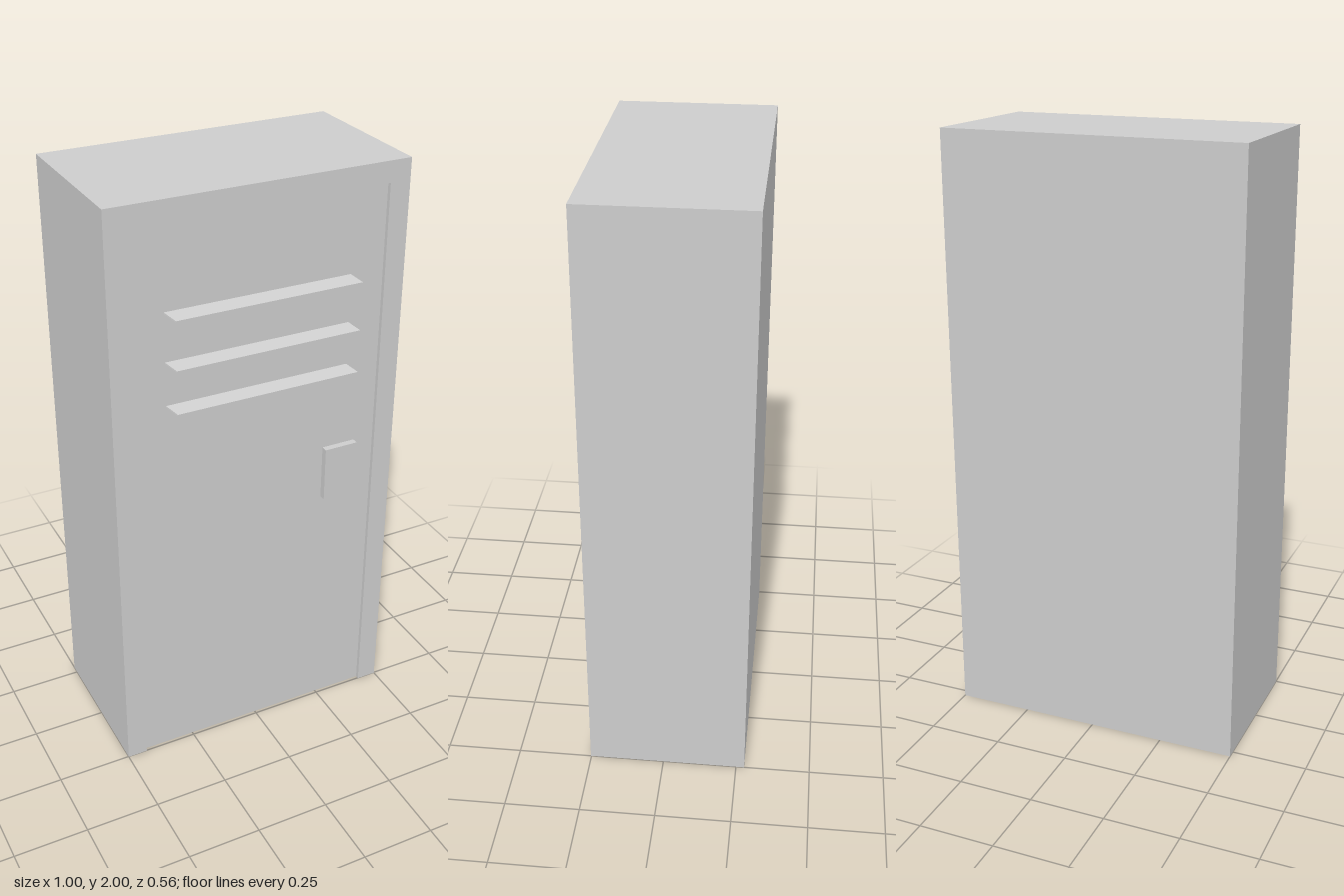
import * as THREE from 'three';

export function createModel() {
  const locker = new THREE.Group();
  locker.name = 'locker';
  const metal = new THREE.MeshStandardMaterial({ color: 0xcccccc, side: THREE.DoubleSide });
  metal.name = 'grey metal';

  const W = 1, H = 2, BACK = -0.278, FRONT = 0.252, DEPTH = FRONT - BACK;
  const MID = (FRONT + BACK) / 2;
  const DOOR_L = -0.432, DOOR_R = 0.43, DOOR_TOP = 1.93, RECESS = 0.013;
  const DOOR_Z = FRONT - RECESS;

  function add(name, geometry, x = 0, y = 0, z = 0) {
    const mesh = new THREE.Mesh(geometry, metal);
    mesh.name = name;
    mesh.position.set(x, y, z);
    locker.add(mesh);
    return mesh;
  }

  // Thin sheet shell, open at the bottom
  add('backPanel', new THREE.PlaneGeometry(W, H).rotateY(Math.PI), 0, H / 2, BACK);
  add('topPanel', new THREE.PlaneGeometry(W, DEPTH).rotateX(-Math.PI / 2), 0, H, MID);
  for (const side of [-1, 1]) {
    add(side > 0 ? 'leftPanel' : 'rightPanel',
      new THREE.PlaneGeometry(DEPTH, H).rotateY(side * Math.PI / 2), side * W / 2, H / 2, MID);
  }

  // Front frame around the doorway
  const frame = new THREE.Shape([
    [-W / 2, 0], [DOOR_L, 0], [DOOR_L, DOOR_TOP], [DOOR_R, DOOR_TOP],
    [DOOR_R, 0], [W / 2, 0], [W / 2, H], [-W / 2, H],
  ].map(([x, y]) => new THREE.Vector2(x, y)));
  add('doorFrame', new THREE.ShapeGeometry(frame), 0, 0, FRONT);

  // Reveals joining the frame to the recessed door
  const revealZ = FRONT - RECESS / 2;
  const doorW = DOOR_R - DOOR_L, doorX = (DOOR_R + DOOR_L) / 2;
  add('rightReveal', new THREE.PlaneGeometry(RECESS, DOOR_TOP).rotateY(Math.PI / 2),
    DOOR_L, DOOR_TOP / 2, revealZ);
  add('leftReveal', new THREE.PlaneGeometry(RECESS, DOOR_TOP).rotateY(-Math.PI / 2),
    DOOR_R, DOOR_TOP / 2, revealZ);
  add('topReveal', new THREE.PlaneGeometry(doorW, RECESS).rotateX(Math.PI / 2),
    doorX, DOOR_TOP, revealZ);
  add('door', new THREE.PlaneGeometry(doorW, DOOR_TOP), doorX, DOOR_TOP / 2, DOOR_Z);

  // Louvres: thin slats sheared down and sideways as they leave the door
  const reach = 0.278 - DOOR_Z;
  for (const y of [1.641, 1.478, 1.331]) {
    const slat = new THREE.BoxGeometry(0.632, 0.006, reach);
    const p = slat.attributes.position;
    for (let i = 0; i < p.count; i++) {
      const z = p.getZ(i);
      p.setX(i, p.getX(i) + z * 0.55);
      p.setY(i, p.getY(i) - z * 0.42);
    }
    const flat = slat.toNonIndexed();
    flat.computeVertexNormals();
    add('louvre', flat, 0.008, y, DOOR_Z + reach / 2);
  }

  // Latch plate
  const latchDepth = 0.261 - DOOR_Z;
  add('latchPlate', new THREE.BoxGeometry(0.118, 0.192, latchDepth),
    0.298, 0.954, DOOR_Z + latchDepth / 2);

  return locker;
}
